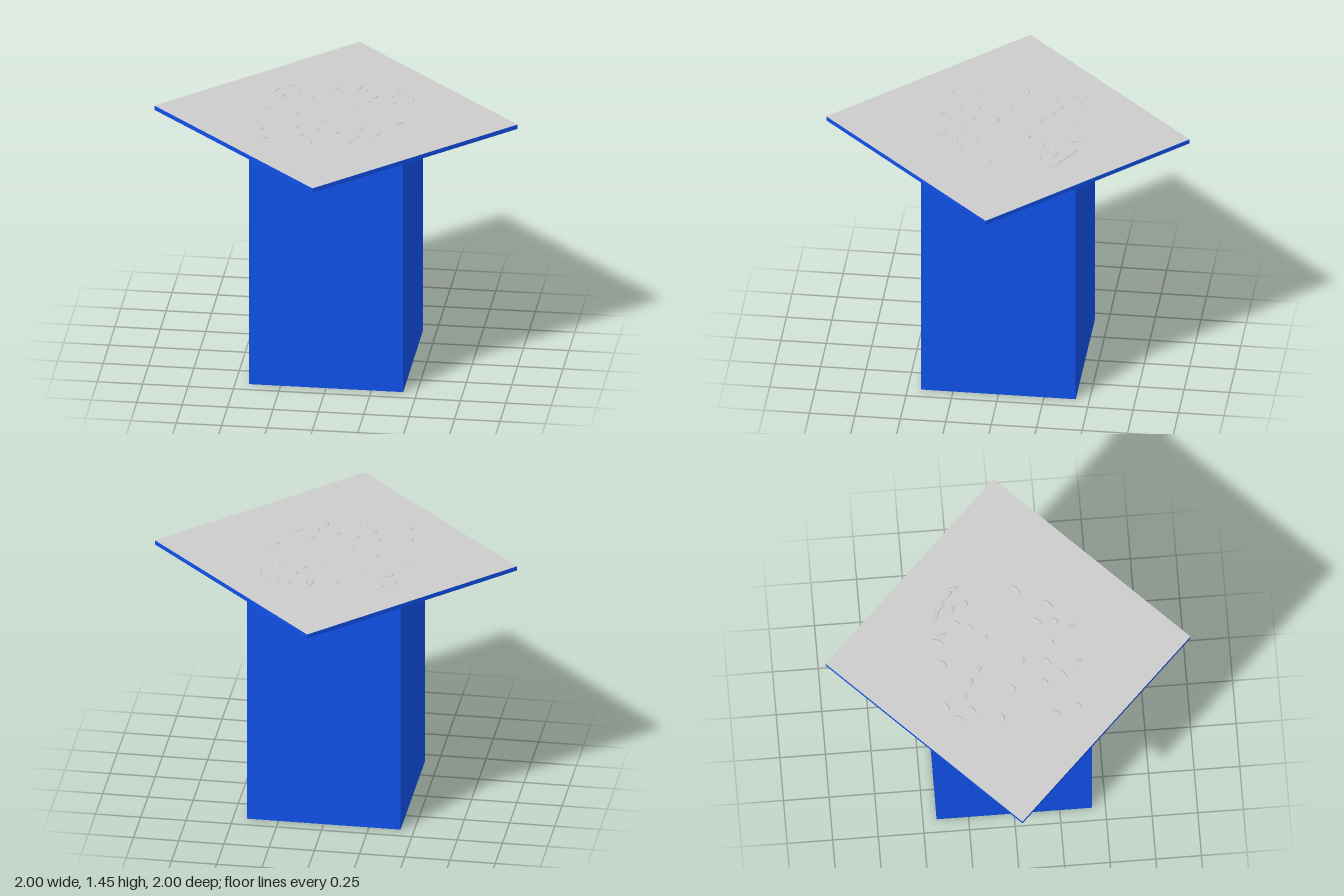
import * as THREE from 'three';

const blue = new THREE.MeshStandardMaterial({ color: 0x1050e8 });
const blueShell = new THREE.MeshStandardMaterial({ color: 0x1050e8, side: THREE.DoubleSide });
const grey = new THREE.MeshStandardMaterial({ color: 0xcccccc });
const green = new THREE.MeshStandardMaterial({ color: 0x99ffcc });

const W = 0.85;         // body width
const BODY_TOP = 1.418; // underside of the plate
const PLATE_TOP = 1.443;

function add(parent, name, geometry, material) {
  const mesh = new THREE.Mesh(geometry, material);
  mesh.name = name;
  parent.add(mesh);
  return mesh;
}

// square block between two heights
function block(parent, name, width, y0, y1, material) {
  const mesh = add(parent, name, new THREE.BoxGeometry(width, y1 - y0, width), material);
  mesh.position.y = (y0 + y1) / 2;
  return mesh;
}

export function createModel() {
  const model = new THREE.Group();
  model.name = 'pedestalTable';

  // thin outer walls, open underneath
  for (let i = 0; i < 4; i++) {
    const wall = add(model, 'bodyWall', new THREE.PlaneGeometry(W, BODY_TOP), blueShell);
    const a = i * Math.PI / 2;
    wall.position.set(Math.sin(a) * W / 2, BODY_TOP / 2, Math.cos(a) * W / 2);
    wall.rotation.y = a;
  }

  // inner column with a small pale foot pad
  block(model, 'innerColumn', 0.57, 0.015, BODY_TOP, blue);
  block(model, 'footPad', 0.285, 0.002, 0.016, green);
  block(model, 'footPadCover', 0.275, 0, 0.002, blue);

  // square plate turned to a diamond: blue slab with a grey upper face
  const side = Math.SQRT2;
  block(model, 'plate', side, BODY_TOP, PLATE_TOP, blue).rotation.y = Math.PI / 4;
  const face = add(model, 'plateTop', new THREE.PlaneGeometry(side, side), grey);
  face.rotation.set(-Math.PI / 2, 0, Math.PI / 4);
  face.position.y = PLATE_TOP + 0.0005;

  // low worn relief on the plate: x, z, half length, turn
  const bumps = [
    [0.08, -0.38, 0.035, 1.2], [0.11, -0.36, 0.03, 2.0], [-0.05, -0.36, 0.025, 0.8],
    [0.22, -0.38, 0.04, -0.5], [0.28, -0.35, 0.04, -0.7], [0.34, -0.31, 0.04, -0.9],
    [0.38, -0.27, 0.025, -1.2], [0.25, -0.29, 0.03, -0.4], [0.18, -0.27, 0.025, 1.0],
    [0.15, -0.20, 0.025, 0.9], [0.29, -0.21, 0.02, 0.3], [0.08, -0.12, 0.02, -0.6],
    [-0.30, -0.36, 0.03, 0.5], [-0.37, -0.30, 0.03, 1.1], [-0.33, -0.22, 0.03, 0.7],
    [-0.25, -0.26, 0.025, -0.6], [-0.17, -0.22, 0.025, -0.7], [-0.10, -0.17, 0.025, -0.7],
    [-0.39, -0.06, 0.025, 0.1], [-0.22, 0.01, 0.02, 0.4], [-0.07, 0.07, 0.025, -0.5],
    [0.35, 0.07, 0.035, 0.7], [0.16, 0.17, 0.03, 1.0], [0.25, 0.24, 0.035, 0.8],
    [0.15, 0.27, 0.02, 0.6], [0.11, 0.35, 0.03, -1.1], [0.03, 0.24, 0.02, 0.9],
    [-0.08, 0.21, 0.025, 0.8], [-0.20, 0.19, 0.025, 0.5], [-0.38, 0.23, 0.025, 1.3],
    [-0.16, 0.29, 0.025, 0.6], [-0.35, 0.36, 0.025, 0.7], [-0.10, 0.38, 0.025, -0.8],
  ];
  const relief = new THREE.Group();
  relief.name = 'relief';
  model.add(relief);
  const dome = new THREE.SphereGeometry(1, 12, 4, 0, Math.PI * 2, 0, Math.PI / 2);
  for (const [x, z, length, turn] of bumps) {
    const bump = add(relief, 'bump', dome, grey);
    bump.scale.set(length, 0.0055, 0.012);
    bump.position.set(x, PLATE_TOP + 0.0005, z);
    bump.rotation.y = turn;
  }
  return model;
}
